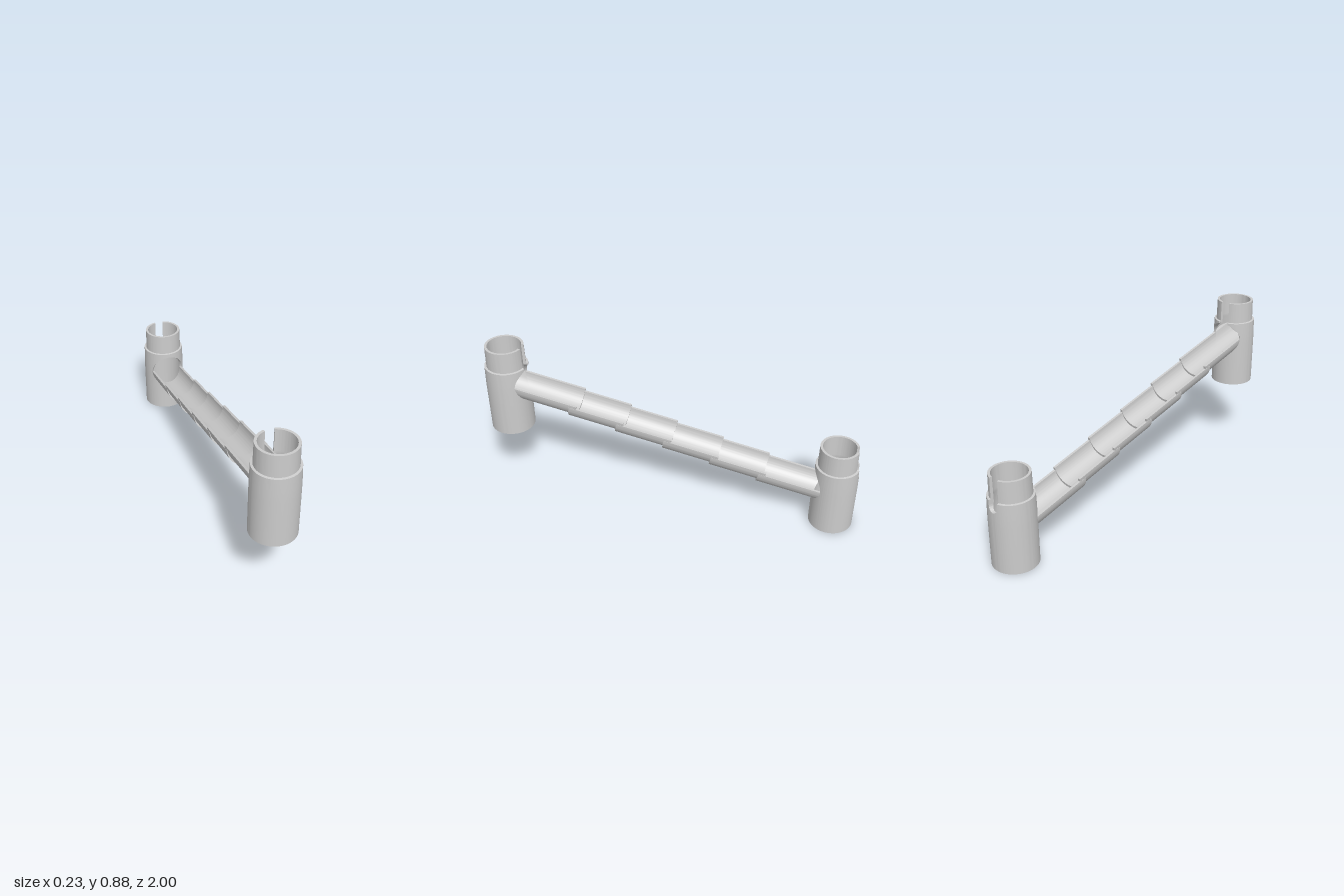
import * as THREE from 'three';
import { toCreasedNormals } from 'three/addons/utils/BufferGeometryUtils.js';

const TOWER_Z = 0.883, R_OUT = 0.117, R_IN = 0.104;
const TROUGH_R = 0.093, TROUGH_IN = 0.08, SLOPE = 0.21, SLOT = 0.03;
const STRETCH = Math.hypot(1, SLOPE);
const SEGMENTS = 6;

// Tower wall profile: height, outer radius, inner radius
const WALL = [
  [0, 0.117, 0.104], [0.25, 0.117, 0.104], [0.3, 0.1163, 0.104], [0.36, 0.1145, 0.088],
  [0.375, 0.114, 0.088], [0.377, 0.103, 0.088], [0.49, 0.101, 0.088],
];
const TOP = 0.49;

// Lower end and axis height of each trough segment
const segmentEnd = (i) => 0.485 - 0.2525 * i;
const axisY = (i, z) => 0.6 - 0.0688 * i + (z - segmentEnd(i)) * SLOPE;
const chord = (r, x) => Math.sqrt(Math.max(r * r - x * x, 0));

// Closed solid lofted through rings; each ring runs out along one side and back along the other
function loft(rings) {
  const pos = [];
  const tri = (a, b, c) => {
    const n = b.clone().sub(a).cross(c.clone().sub(a));
    if (n.length() > 1e-11) for (const p of [a, b, c]) pos.push(p.x, p.y, p.z);
  };
  const quad = (a, b, c, d) => { tri(a, b, c); tri(a, c, d); };
  const m = rings[0].length;
  for (let i = 0; i + 1 < rings.length; i++) {
    for (let k = 0; k < m; k++) {
      const j = (k + 1) % m;
      quad(rings[i][k], rings[i][j], rings[i + 1][j], rings[i + 1][k]);
    }
  }
  const last = rings[rings.length - 1];
  for (let k = 0; k < m / 2 - 1; k++) {
    quad(rings[0][k], rings[0][m - 1 - k], rings[0][m - 2 - k], rings[0][k + 1]);
    quad(last[k], last[k + 1], last[m - 2 - k], last[m - 1 - k]);
  }
  // Turn the faces outward if the enclosed volume is negative
  let volume = 0;
  const at = (i) => new THREE.Vector3().fromArray(pos, i);
  for (let i = 0; i < pos.length; i += 9) volume += at(i).dot(at(i + 3).cross(at(i + 6)));
  if (volume < 0) {
    for (let i = 0; i < pos.length; i += 9) {
      for (let k = 0; k < 3; k++) [pos[i + 3 + k], pos[i + 6 + k]] = [pos[i + 6 + k], pos[i + 3 + k]];
    }
  }
  const geometry = new THREE.BufferGeometry();
  geometry.setAttribute('position', new THREE.Float32BufferAttribute(pos, 3));
  return toCreasedNormals(geometry, 0.5);
}

// Wall radii at a height
function radii(y) {
  let i = 1;
  while (i < WALL.length - 1 && WALL[i][0] < y) i++;
  const [a, b] = [WALL[i - 1], WALL[i]];
  const t = (y - a[0]) / (b[0] - a[0]);
  return [a[1] + (b[1] - a[1]) * t, a[2] + (b[2] - a[2]) * t];
}

// Piece of tower wall between two angles, trimmed below lo(a) and above hi(a)
function wallArc(a0, a1, lo, hi, facing, steps = 32) {
  const rings = [];
  for (let s = 0; s <= steps; s++) {
    const a = (a0 + a1) / 2 + ((a1 - a0) / 2) * Math.sin((s / steps - 0.5) * Math.PI);
    const outer = [], inner = [];
    for (const [level] of WALL) {
      const y = Math.min(Math.max(level, lo(a)), hi(a));
      const [ro, ri] = radii(y);
      const point = (r) => new THREE.Vector3(r * Math.sin(a), y, facing * r * Math.cos(a));
      outer.push(point(ro));
      inner.unshift(point(ri));
    }
    rings.push([...outer, ...inner]);
  }
  return loft(rings);
}

export function createModel() {
  const model = new THREE.Group();
  const material = new THREE.MeshStandardMaterial({ color: 0xcccccc });
  const add = (parent, name, geometry) => {
    const mesh = new THREE.Mesh(geometry, material);
    mesh.name = name;
    parent.add(mesh);
  };

  // Towers: angle 0 points along the trough
  const hole = Math.asin(TROUGH_R / R_OUT), slot = Math.asin(SLOT / R_OUT);
  const floor = () => 0, top = () => TOP;
  function tower(name, facing, baseY, segment) {
    const group = new THREE.Group();
    group.name = name;
    group.position.set(0, baseY, -facing * TOWER_Z);
    const edge = (side) => (a) => {
      const z = -facing * TOWER_Z + facing * R_OUT * Math.cos(a);
      return axisY(segment, z) - baseY + side * STRETCH * chord(TROUGH_R, R_OUT * Math.sin(a));
    };
    add(group, 'wallBelowTrough', wallArc(-hole, hole, floor, edge(-1), facing));
    if (facing < 0) {
      // Upper tower: the slot runs down into the trough opening
      add(group, 'mainWall', wallArc(hole, 2 * Math.PI - hole, floor, top, facing, 72));
      for (const s of [1, -1]) add(group, 'wallBesideSlot', wallArc(s * slot, s * hole, edge(1), top, facing));
    } else {
      // Lower tower: the slot is opposite the trough opening
      const slotBottom = (a) => 0.35 - chord(SLOT, R_OUT * Math.sin(a));
      add(group, 'wallAboveTrough', wallArc(-hole, hole, edge(1), top, facing));
      add(group, 'wallBelowSlot', wallArc(Math.PI - slot, Math.PI + slot, floor, slotBottom, facing));
      for (const s of [1, -1]) add(group, 'sideWall', wallArc(s * hole, s * (Math.PI - slot), floor, top, facing, 48));
    }
    model.add(group);
  }
  tower('upperTower', -1, 0.385, 0);
  tower('lowerTower', 1, 0, SEGMENTS - 1);

  // Overlapping half-pipe segments, each dropped a little below the one before
  const trough = new THREE.Group();
  trough.name = 'trough';
  for (let i = 0; i < SEGMENTS; i++) {
    const startZ = (x, h) => i === 0
      ? TOWER_Z - chord(R_IN, x) : segmentEnd(i - 1) + 0.04 - h * SLOPE;
    const endZ = (x, h) => i === SEGMENTS - 1
      ? -TOWER_Z + chord(R_IN, x) : segmentEnd(i) - h * SLOPE;
    const ring = (zAt) => {
      const outer = [], inner = [];
      for (let k = 0; k <= 40; k++) {
        const a = (k / 40) * Math.PI;
        const point = (r) => {
          const x = r * Math.cos(a), h = -r * Math.sin(a), z = zAt(x, h);
          return new THREE.Vector3(x, axisY(i, z) + h * STRETCH, z);
        };
        outer.push(point(TROUGH_R));
        inner.unshift(point(TROUGH_IN));
      }
      return [...outer, ...inner];
    };
    add(trough, 'troughSegment', loft([ring(startZ), ring(endZ)]));
  }
  model.add(trough);

  // Sloping scooped floor inside the upper tower
  const slices = [];
  for (let k = 0; k <= 48; k++) {
    const x = R_IN * 0.999 * Math.sin((k / 48 - 0.5) * Math.PI);
    const point = (side, drop) => {
      const z = TOWER_Z + side * chord(R_IN, x);
      return new THREE.Vector3(x, axisY(0, z) - STRETCH * chord(TROUGH_IN, x) - drop, z);
    };
    slices.push([point(-1, 0.015), point(1, 0.015), point(1, 0), point(-1, 0)]);
  }
  add(model, 'scoopFloor', loft(slices));

  return model;
}
